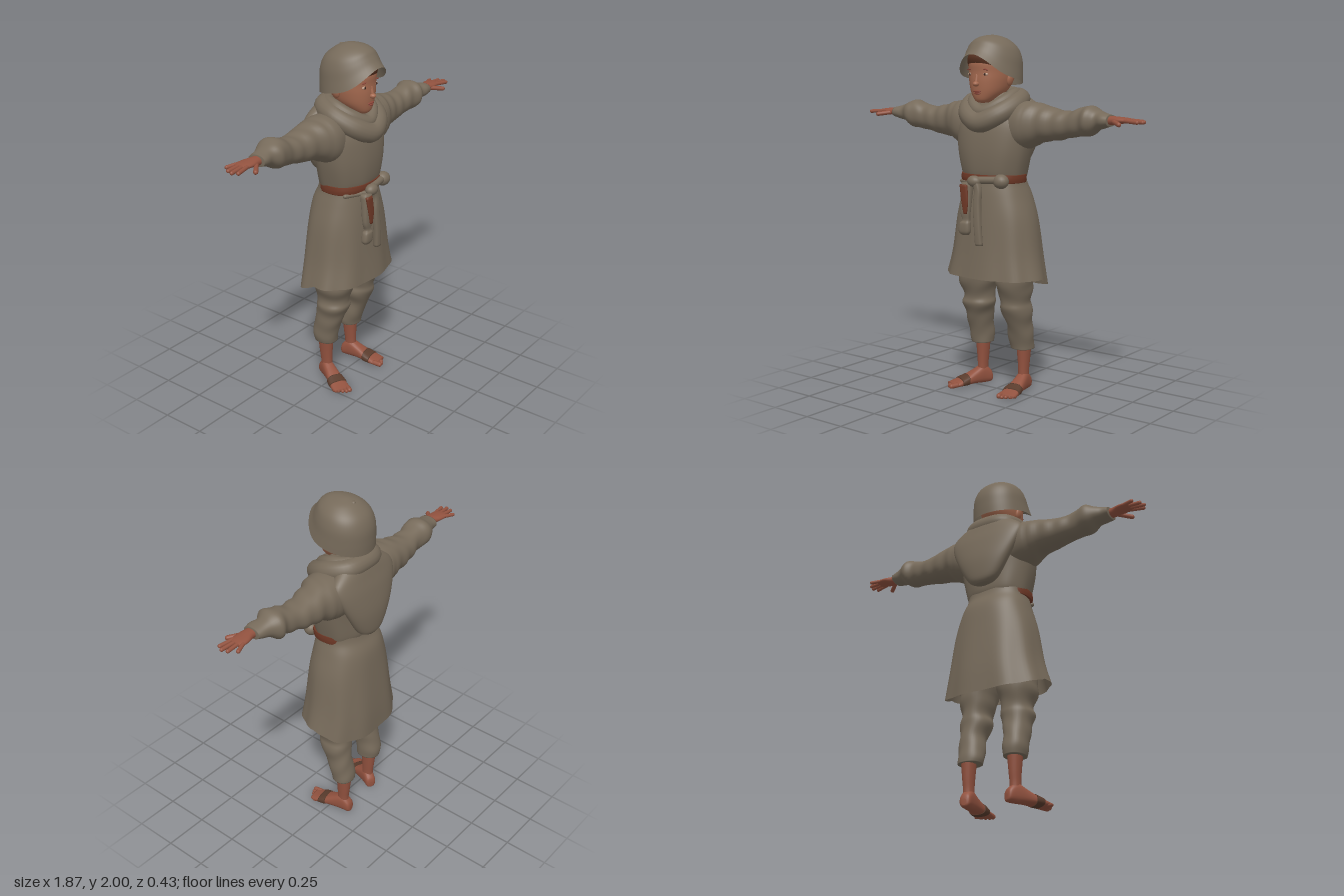
import * as THREE from 'three';

const mat = (name, color, side = THREE.FrontSide) => {
  const m = new THREE.MeshStandardMaterial({ color, side });
  m.name = name;
  return m;
};

// Uniform Catmull-Rom through a list of equal-length rows
function spline(rows, t) {
  const k = Math.min(Math.floor(t), rows.length - 2), f = t - k;
  const at = i => rows[Math.max(0, Math.min(rows.length - 1, i))];
  return rows[k].map((b, c) => {
    const a = at(k - 1)[c], d = at(k + 1)[c], e = at(k + 2)[c];
    return b + 0.5 * f * (d - a + f * (2 * a - 5 * b + 4 * d - e + f * (3 * (b - d) + e - a)));
  });
}

// Skin over cross-sections [position, min1, max1, min2, max2] along an axis.
// The two extents are x,z for axis y; y,z for axis x; x,y for axis z.
function loft(sections, { axis = 'y', n = 36, steps = 5, power = 2.2, caps = [true, true], wave, mod, flip = 1 } = {}) {
  const pos = [], idx = [], rows = (sections.length - 1) * steps;
  const order = { x: ['x', 'y', 'z'], y: ['y', 'x', 'z'], z: ['z', 'x', 'y'] }[axis];
  const put = (s, u, v, a, t) => {
    const p = new THREE.Vector3();
    p[order[0]] = s; p[order[1]] = u; p[order[2]] = v;
    if (mod) mod(p, a, t);
    pos.push(p.x * flip, p.y, p.z);
  };
  const bulge = c => Math.sign(c) * Math.abs(c) ** (2 / power);
  for (let i = 0; i <= rows; i++) {
    const [s, u0, u1, v0, v1] = spline(sections, i / steps);
    for (let j = 0; j < n; j++) {
      const a = j / n * Math.PI * 2, w = 1 + (wave ? wave(a, s) : 0);
      put(s, (u0 + u1) / 2 + (u1 - u0) / 2 * w * bulge(Math.cos(a)),
        (v0 + v1) / 2 + (v1 - v0) / 2 * w * bulge(Math.sin(a)), a, i / rows);
    }
  }
  for (let i = 0; i < rows; i++) for (let j = 0; j < n; j++) {
    const a = i * n + j, b = i * n + (j + 1) % n;
    idx.push(a, a + n, b, b, a + n, b + n);
  }
  caps.forEach((on, e) => {
    if (!on) return;
    const [s, u0, u1, v0, v1] = sections[e ? sections.length - 1 : 0], c = pos.length / 3, r = e ? rows * n : 0;
    put(s, (u0 + u1) / 2, (v0 + v1) / 2, 0, e);
    for (let j = 0; j < n; j++) {
      const p = r + j, q = r + (j + 1) % n;
      idx.push(c, ...(e ? [q, p] : [p, q]));
    }
  });
  // every face turns outward whatever the axis or mirroring
  if ((axis === 'y' ? 1 : -1) * flip * (axis === 'z' ? -1 : 1) * (axis === 'z' ? signZ : 1) *
    Math.sign(sections[sections.length - 1][0] - sections[0][0]) < 0) idx.reverse();
  const g = new THREE.BufferGeometry();
  g.setAttribute('position', new THREE.Float32BufferAttribute(pos, 3));
  g.setIndex(idx);
  g.computeVertexNormals();
  return g;
}
const signZ = -1;

export function createModel() {
  const cloth = mat('worn cloth', 0x766a5a, THREE.DoubleSide);
  const skin = mat('skin', 0x92523f);
  const faceSkin = mat('face skin', 0xa4694f);
  const hair = mat('hair', 0x55301f, THREE.DoubleSide);
  const leather = mat('belt leather', 0x6e3826, THREE.DoubleSide);
  const strap = mat('foot strap', 0x5a3c2d);
  const lip = mat('lips', 0x8a4538);
  const white = mat('eye white', 0xc0a08a);
  const dark = mat('eye dark', 0x3a2219);

  const root = new THREE.Group();
  root.name = 'child in hooded coat';
  const add = (name, geo, m, parent = root) => {
    const mesh = new THREE.Mesh(geo, m);
    mesh.name = name;
    parent.add(mesh);
    return mesh;
  };
  const ball = (name, m, [x, y, z], [a, b, c], parent = root) => {
    const o = add(name, new THREE.SphereGeometry(1, 20, 14), m, parent);
    o.position.set(x, y, z);
    o.scale.set(a, b, c);
    return o;
  };
  const rod = (name, m, a, b, r, parent = root) => {
    const p = new THREE.Vector3(...a), q = new THREE.Vector3(...b), d = q.clone().sub(p);
    const o = add(name, new THREE.CapsuleGeometry(r, d.length(), 5, 12), m, parent);
    o.position.copy(p).add(q).multiplyScalar(0.5);
    o.quaternion.setFromUnitVectors(new THREE.Vector3(0, 1, 0), d.normalize());
  };

  // Coat: open flared skirt, lower at the back, then the chest
  add('coatSkirt', loft([
    [0.67, -0.305, 0.297, -0.212, 0.195], [0.8, -0.27, 0.268, -0.207, 0.182], [1.0, -0.238, 0.238, -0.187, 0.166],
    [1.13, -0.203, 0.2, -0.168, 0.152], [1.2, -0.182, 0.177, -0.135, 0.14], [1.24, -0.18, 0.175, -0.125, 0.135]],
  {
    n: 72, power: 2.4, caps: [false, false], wave: (a, y) => 0.022 * Math.sin(9 * a + 1) * Math.max(0, (1.15 - y) / 0.5),
    mod: (p, a, t) => { p.y -= 0.075 * Math.max(0, -Math.sin(a)) ** 0.7 * (1 - t) ** 2; },
  }), cloth);
  add('coatChest', loft([
    [1.21, -0.178, 0.173, -0.118, 0.133], [1.25, -0.19, 0.185, -0.132, 0.156], [1.37, -0.218, 0.215, -0.138, 0.165],
    [1.5, -0.235, 0.235, -0.15, 0.152], [1.58, -0.23, 0.23, -0.15, 0.12], [1.645, -0.17, 0.17, -0.13, 0.09], [1.69, -0.09, 0.09, -0.1, 0.06]],
  { n: 60, power: 2.3, wave: (a, y) => 0.015 * Math.sin(8 * a) * Math.max(0, 1.5 - y) * 3 }), cloth);

  // Hood hanging down the back and the two rolls of cloth round the neck
  add('hoodBack', loft([
    [1.255, -0.04, 0.04, -0.185, -0.14], [1.29, -0.095, 0.095, -0.202, -0.11], [1.4, -0.16, 0.16, -0.207, -0.09],
    [1.52, -0.215, 0.215, -0.188, -0.07], [1.6, -0.225, 0.225, -0.165, -0.04], [1.66, -0.16, 0.16, -0.145, -0.02], [1.7, -0.1, 0.1, -0.12, 0]],
  { n: 48 }), cloth);
  const roll = (name, half, r) => {
    const other = half.slice(1, -1).reverse().map(([x, y, z]) => [-x, y, z]);
    const path = new THREE.CatmullRomCurve3([...half, ...other].map(p => new THREE.Vector3(...p)), true);
    add(name, new THREE.TubeGeometry(path, 64, r, 16, true), cloth);
  };
  roll('cowlOuterRoll', [[0, 1.53, 0.157], [0.1, 1.573, 0.122], [0.145, 1.63, 0.02], [0.1, 1.655, -0.08], [0, 1.66, -0.1]], 0.056);
  roll('cowlInnerRoll', [[0, 1.585, 0.135], [0.09, 1.63, 0.09], [0.115, 1.67, 0.01], [0.08, 1.68, -0.07], [0, 1.685, -0.085]], 0.036);

  // Sleeves and hands
  for (const s of [-1, 1]) {
    const arm = new THREE.Group();
    arm.name = s > 0 ? 'leftArm' : 'rightArm';
    root.add(arm);
    add('sleeve', loft([
      [0.1, 1.36, 1.64, -0.13, 0.1], [0.21, 1.385, 1.645, -0.14, 0.115], [0.3, 1.425, 1.63, -0.125, 0.08],
      [0.4, 1.44, 1.605, -0.113, 0.06], [0.48, 1.458, 1.6, -0.098, 0.053], [0.55, 1.468, 1.62, -0.088, 0.055],
      [0.605, 1.475, 1.633, -0.105, 0.07], [0.655, 1.505, 1.61, -0.08, 0.048], [0.695, 1.518, 1.598, -0.062, 0.052], [0.735, 1.528, 1.588, -0.052, 0.05]],
    { axis: 'x', flip: s, steps: 6, wave: (a, x) => x > 0.25 ? 0.045 * Math.sin(70 * x + 2 * Math.sin(a) + s) * Math.sin(a + 0.6) : 0 }), cloth, arm);
    add('palm', loft([
      [0.7, 1.537, 1.582, -0.032, 0.032], [0.75, 1.537, 1.583, -0.033, 0.035], [0.79, 1.544, 1.58, -0.046, 0.04],
      [0.83, 1.548, 1.576, -0.05, 0.036], [0.855, 1.552, 1.57, -0.045, 0.03]], { axis: 'x', flip: s, n: 20 }), skin, arm);
    const fingers = [[0.025, 0.91, 0.04], [0.003, 0.926, 0.012], [-0.019, 0.916, -0.02], [-0.039, 0.885, -0.059]];
    for (const [z, x, ze] of fingers) rod('finger', skin, [s * 0.83, 1.562, z], [s * x, 1.557, ze], 0.0105, arm);
    rod('thumb', skin, [s * 0.765, 1.555, 0.025], [s * 0.825, 1.545, 0.074], 0.0125, arm);
  }

  // Belt, knot and hanging cloth ends
  add('belt', loft([[1.2, -0.19, 0.184, -0.115, 0.156], [1.222, -0.192, 0.187, -0.115, 0.16], [1.245, -0.19, 0.186, -0.115, 0.158]],
    { n: 48, power: 2.4 }), leather);
  rod('beltWrap', cloth, [-0.03, 1.215, 0.168], [0.12, 1.222, 0.148], 0.02);
  rod('beltWrapRight', cloth, [-0.16, 1.197, 0.105], [-0.04, 1.197, 0.165], 0.013);
  ball('sideKnot', cloth, [0.135, 1.215, 0.14], [0.045, 0.04, 0.04]);
  ball('frontKnot', cloth, [-0.02, 1.21, 0.178], [0.042, 0.032, 0.032]);
  add('hangingPouch', loft([
    [0.91, -0.095, -0.055, 0.175, 0.2], [0.93, -0.112, -0.04, 0.17, 0.212], [0.975, -0.105, -0.04, 0.17, 0.212], [0.995, -0.09, -0.045, 0.172, 0.202],
    [1.05, -0.105, -0.04, 0.17, 0.205], [1.2, -0.1, -0.03, 0.15, 0.2]], { n: 20, power: 3 }), cloth);
  add('hangingEnd', loft([
    [0.86, 0, 0.045, 0.175, 0.205], [0.95, -0.005, 0.038, 0.175, 0.208], [1.08, -0.015, 0.03, 0.168, 0.205], [1.16, -0.01, 0.03, 0.16, 0.2], [1.21, -0.03, 0.015, 0.155, 0.2]],
  { n: 20, power: 3 }), cloth);
  add('leatherEnd', loft([[1.03, -0.07, -0.05, 0.2, 0.212], [1.1, -0.085, -0.04, 0.2, 0.214], [1.19, -0.1, -0.05, 0.19, 0.212]],
    { n: 16, power: 3 }), leather);

  // Trousers, shins and bare feet
  const legs = [
    ['rightLeg', [[0.25, -0.197, -0.077, -0.12, 0.015], [0.31, -0.208, -0.076, -0.125, 0.025], [0.42, -0.208, -0.064, -0.105, 0.06],
      [0.49, -0.218, -0.036, -0.1, 0.09], [0.54, -0.208, -0.045, -0.098, 0.088], [0.65, -0.232, -0.018, -0.12, 0.12], [0.85, -0.2, 0.01, -0.12, 0.12]],
    [-0.137, -0.05], -0.45],
    ['leftLeg', [[0.245, 0.06, 0.19, -0.14, -0.015], [0.29, 0.05, 0.195, -0.137, -0.005], [0.4, 0.062, 0.198, -0.12, 0.035],
      [0.485, 0.038, 0.208, -0.112, 0.075], [0.54, 0.045, 0.2, -0.11, 0.078], [0.65, 0.02, 0.22, -0.12, 0.115], [0.85, -0.01, 0.2, -0.12, 0.12]],
    [0.132, -0.08], 0.13]];
  for (const [name, trouser, [x, z], turn] of legs) {
    const leg = new THREE.Group(), foot = new THREE.Group(), s = Math.sign(x);
    leg.name = name;
    foot.name = 'foot';
    root.add(leg);
    leg.add(foot);
    add('trouserLeg', loft(trouser, { steps: 7, wave: (a, y) => 0.035 * Math.sin(55 * y + 2.5 * Math.sin(a + s)) * Math.sin(a + 2) }), cloth, leg);
    add('shin', loft([[0.03, x - 0.028, x + 0.028, z - 0.035, z + 0.035], [0.1, x - 0.027, x + 0.027, z - 0.034, z + 0.034],
      [0.17, x - 0.032, x + 0.031, z - 0.042, z + 0.036], [0.3, x - 0.045, x + 0.04, z - 0.055, z + 0.045]], { n: 20 }), skin, leg);
    foot.position.set(x, 0, z);
    foot.rotation.y = turn;
    add('footBody', loft([
      [-0.056, -0.014, 0.014, 0.012, 0.045], [-0.045, -0.03, 0.03, 0.002, 0.075], [0, -0.034, 0.034, 0, 0.108],
      [0.06, -0.038, 0.04, 0.003, 0.082], [0.12, -0.047, 0.047, 0.001, 0.052], [0.17, -0.052, 0.052, 0, 0.034], [0.205, -0.046, 0.046, 0.003, 0.024]],
    { axis: 'z', n: 24, power: 2.5 }), skin, foot);
    add('footStrap', loft([[0.105, -0.05, 0.05, 0.0, 0.062], [0.125, -0.053, 0.053, 0.0, 0.054], [0.15, -0.054, 0.054, 0.0, 0.045]],
      { axis: 'z', n: 24, power: 2.5 }), strap, foot);
    for (let i = 0; i < 5; i++) {
      const tx = -s * (0.037 - i * 0.0195), r = i ? 0.0105 : 0.0145;
      rod('toe', skin, [tx, r + 0.002, 0.185], [tx, r, 0.235 - 0.004 * i * i * 0.75 - r], r, foot);
    }
  }

  // Head and face
  const head = new THREE.Group();
  head.name = 'head';
  root.add(head);
  add('neck', loft([[1.56, -0.07, 0.055, -0.04, 0.09], [1.65, -0.06, 0.045, -0.04, 0.075], [1.74, -0.062, 0.047, -0.05, 0.075]], { n: 24 }), faceSkin, head);
  add('skull', loft([
    [1.635, -0.035, 0.015, 0.075, 0.135], [1.652, -0.063, 0.043, 0.03, 0.152], [1.695, -0.098, 0.078, -0.05, 0.162], [1.75, -0.116, 0.096, -0.1, 0.168],
    [1.8, -0.122, 0.102, -0.115, 0.168], [1.86, -0.122, 0.102, -0.118, 0.17], [1.93, -0.1, 0.085, -0.09, 0.135], [1.96, -0.05, 0.04, -0.04, 0.08]],
  { n: 40 }), faceSkin, head);
  ball('noseTip', faceSkin, [-0.01, 1.737, 0.17], [0.017, 0.014, 0.021], head);
  rod('noseBridge', faceSkin, [-0.01, 1.745, 0.17], [-0.01, 1.785, 0.161], 0.009, head);
  ball('upperLip', lip, [-0.01, 1.697, 0.161], [0.026, 0.006, 0.009], head);
  ball('lowerLip', lip, [-0.01, 1.686, 0.16], [0.021, 0.006, 0.009], head);
  for (const s of [-1, 1]) {
    const x = -0.01 + s * 0.05;
    ball('eye', white, [x, 1.789, 0.153], [0.017, 0.008, 0.008], head);
    ball('iris', dark, [x, 1.789, 0.159], [0.006, 0.007, 0.004], head);
    ball('eyebrow', lip, [x, 1.815, 0.156], [0.024, 0.004, 0.006], head).rotation.z = -s * 0.12;
    ball('ear', faceSkin, [-0.01 + s * 0.118, 1.76, 0.02], [0.014, 0.036, 0.024], head).rotation.z = -s * 0.2;
  }
  add('hair', loft([[1.8, -0.126, 0.106, -0.122, 0.172], [1.86, -0.126, 0.106, -0.122, 0.176], [1.93, -0.104, 0.088, -0.094, 0.14]],
    { n: 40, caps: [false, false], mod: (p, a, t) => { p.y += (1 - t) * 0.05 * Math.max(0, Math.sin(a)); } }), hair, head);

  // Cap: a dome whose rim rises to a short flared visor in front
  add('cap', loft([
    [1.74, -0.175, 0.16, -0.14, 0.216], [1.8, -0.166, 0.154, -0.143, 0.19], [1.87, -0.156, 0.146, -0.14, 0.168],
    [1.93, -0.133, 0.124, -0.115, 0.148], [1.975, -0.088, 0.08, -0.06, 0.112], [1.995, -0.04, 0.03, -0.01, 0.07], [2.0, -0.01, 0, 0.02, 0.04]],
  {
    n: 56, power: 2.05, caps: [false, true], mod: (p, a, t) => {
      const f = Math.sin(a), rim = 1.725 + 0.04 * (f + 1) + 0.09 * Math.max(0, f) ** 3;
      p.y = rim + (p.y - 1.74) / 0.26 * (2 - rim);
    },
  }), cloth, head);
  ball('capButton', cloth, [-0.007, 1.98, -0.035], [0.013, 0.01, 0.013], head);
  return root;
}
